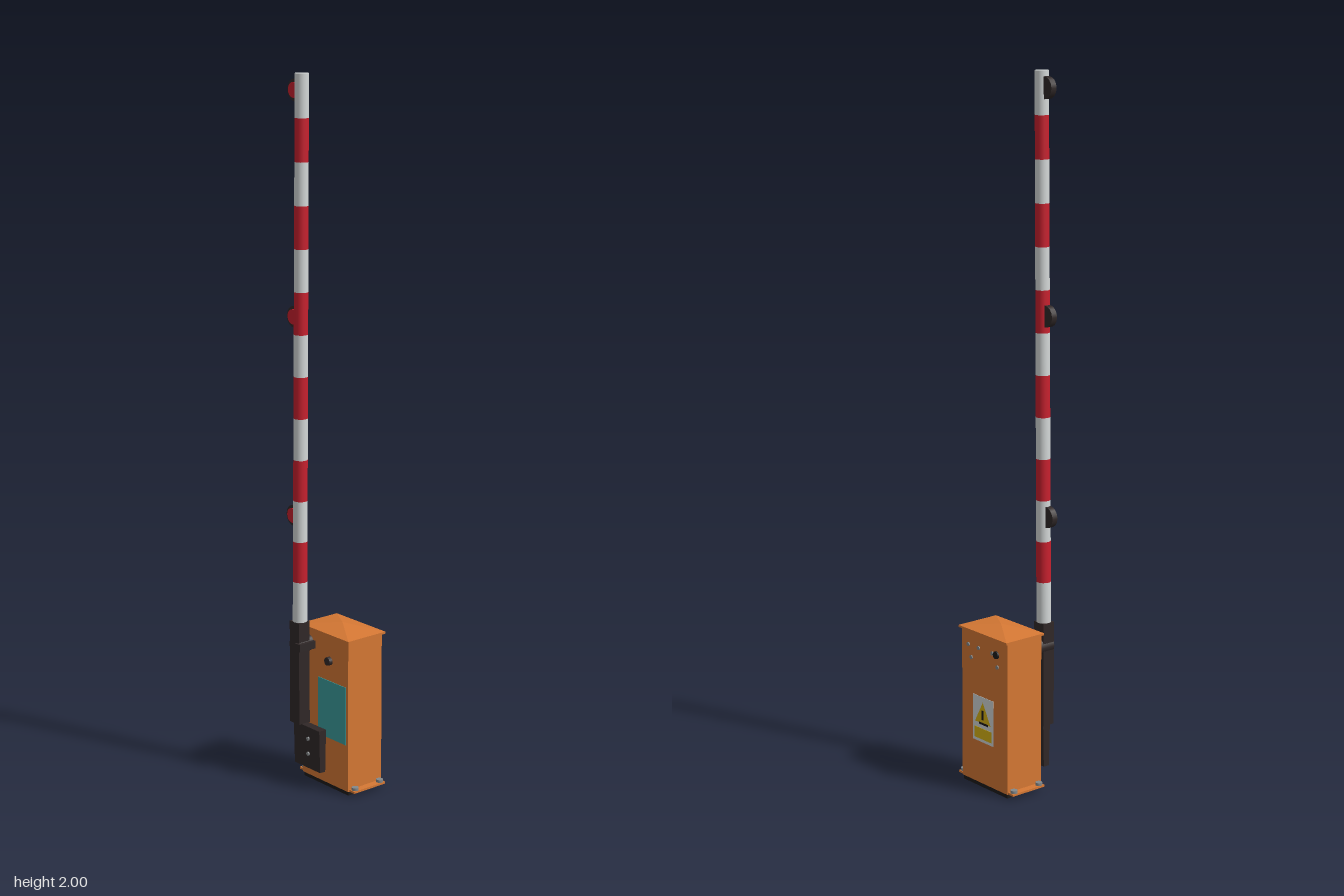
import * as THREE from 'three';

const mat = (name, color) => {
  const m = new THREE.MeshStandardMaterial({ color });
  m.name = name;
  return m;
};

export function createModel() {
  const orange = mat('orange paint', 0xd67834);
  const dark = mat('dark metal', 0x302828);
  const white = mat('white paint', 0xd4d8d8);
  const red = mat('red paint', 0xc8202e);
  const grey = mat('bolt grey', 0x84888a);
  const yellow = mat('warning yellow', 0xd8b414);
  const teal = mat('teal label', 0x3c9c9c);
  const black = mat('black', 0x1c1a1a);

  const model = new THREE.Group();
  model.name = 'barrierGate';

  const add = (name, geo, material, x = 0, y = 0, z = 0, parent = model) => {
    const mesh = new THREE.Mesh(geo, material);
    mesh.name = name;
    mesh.position.set(x, y, z);
    parent.add(mesh);
    return mesh;
  };
  // Box given by its lower and upper corners
  const box = (name, material, x0, x1, y0, y1, z0, z1, parent = model) =>
    add(name, new THREE.BoxGeometry(x1 - x0, y1 - y0, z1 - z0), material,
      (x0 + x1) / 2, (y0 + y1) / 2, (z0 + z1) / 2, parent);
  // Short cylinder along x
  const disc = (name, material, r, depth, x, y, z, sides = 12) => {
    const geo = new THREE.CylinderGeometry(r, r, depth, sides);
    geo.rotateZ(Math.PI / 2);
    return add(name, geo, material, x, y, z);
  };

  // Cabinet
  box('cabinetBase', black, -0.035, 0.083, 0, 0.012, -0.097, 0.097);
  box('cabinetBody', orange, -0.038, 0.085, 0.012, 0.455, -0.099, 0.099);
  box('roofEdge', orange, -0.043, 0.093, 0.453, 0.459, -0.105, 0.105);

  // Shallow pyramid roof
  const roof = new THREE.ConeGeometry(Math.SQRT1_2, 0.016, 4, 1, true).toNonIndexed();
  roof.rotateY(Math.PI / 4);
  roof.scale(0.136, 1, 0.21);
  roof.computeVertexNormals();
  add('roof', roof, orange, 0.025, 0.467, 0);

  // Mounting flanges with bolts, front and back
  for (const s of [1, -1]) {
    box('mountingFlange', orange, -0.033, 0.082, 0.012, 0.018, s > 0 ? 0.095 : -0.12, s > 0 ? 0.12 : -0.095);
    for (const x of [-0.021, 0.07]) {
      add('flangeBolt', new THREE.CylinderGeometry(0.01, 0.01, 0.008, 12), grey, x, 0.022, s * 0.11);
    }
  }

  // Screws and lock on the outer side
  for (const [y, z] of [[0.41, 0.07], [0.41, 0.025], [0.41, -0.035], [0.375, 0.057], [0.375, -0.057]]) {
    disc('sideScrew', grey, 0.006, 0.004, 0.086, y, z, 8);
  }
  disc('sideLock', black, 0.011, 0.006, 0.087, 0.41, -0.053);

  // Warning label, laid out in the side plane and turned to face +x
  const label = new THREE.Group();
  label.name = 'warningLabel';
  label.rotation.y = Math.PI / 2;
  label.position.set(0.0855, 0.203, 0.005);
  model.add(label);
  box('labelPlate', white, -0.045, 0.045, -0.067, 0.067, 0, 0.001, label);
  const triangle = new THREE.Shape([[-0.034, -0.01], [0.034, -0.01], [0, 0.052]].map(p => new THREE.Vector2(...p)));
  add('warningTriangle', new THREE.ShapeGeometry(triangle), yellow, 0, 0, 0.002, label);
  box('labelBand', yellow, -0.038, 0.038, -0.058, -0.026, 0.001, 0.002, label);
  box('labelLine', black, -0.016, 0.024, -0.014, -0.008, 0.002, 0.003, label);
  box('warningMark', black, -0.004, 0.004, 0, 0.028, 0.002, 0.003, label);

  // Label on the arm side of the cabinet
  box('tealLabel', teal, -0.04, -0.038, 0.15, 0.32, -0.03, 0.09);

  // Pivot shaft and hub
  box('pivotBracket', dark, -0.095, -0.038, 0.4, 0.422, -0.064, -0.042);
  disc('pivotHub', dark, 0.024, 0.05, -0.063, 0.411, -0.073, 16);
  disc('pivotStop', dark, 0.012, 0.012, -0.043, 0.38, 0.02);

  // Arm sleeve and counterweight
  box('armSleeve', dark, -0.089, -0.051, 0.18, 0.48, -0.094, -0.053);
  const weight = new THREE.BoxGeometry(0.025, 0.125, 0.112);
  const p = weight.attributes.position;
  for (let i = 0; i < p.count; i++) if (p.getY(i) < 0) p.setX(i, p.getX(i) * 0.75);
  weight.computeVertexNormals();
  add('counterweight', weight, dark, -0.068, 0.118, -0.032);
  for (const y of [0.1, 0.145]) disc('weightBolt', grey, 0.006, 0.004, -0.081, y, -0.025, 8);

  // Striped pole, leaning slightly
  const bottom = new THREE.Vector3(-0.069, 0.48, -0.073);
  const top = new THREE.Vector3(-0.065, 2, -0.061);
  const at = t => bottom.clone().lerp(top, t);
  const stripes = 13;
  const radius = t => 0.0205 - 0.0015 * t;
  const lean = new THREE.Quaternion().setFromUnitVectors(
    new THREE.Vector3(0, 1, 0), top.clone().sub(bottom).normalize());
  for (let i = 0; i < stripes; i++) {
    const a = i / stripes, b = (i + 1) / stripes;
    const geo = new THREE.CylinderGeometry(radius(b), radius(a), at(a).distanceTo(at(b)), 16, 1, i < stripes - 1);
    const c = at((a + b) / 2);
    add('poleStripe', geo, i % 2 ? red : white, c.x, c.y, c.z).quaternion.copy(lean);
  }

  // Warning lamps on the back of the pole
  for (const y of [0.785, 1.345, 1.955]) {
    const c = at((y - bottom.y) / (top.y - bottom.y));
    disc('lampHousing', dark, 0.03, 0.018, c.x - 0.001, y, c.z - 0.018, 16);
    disc('lampLens', red, 0.021, 0.004, c.x - 0.011, y, c.z - 0.021, 16);
  }

  return model;
}
